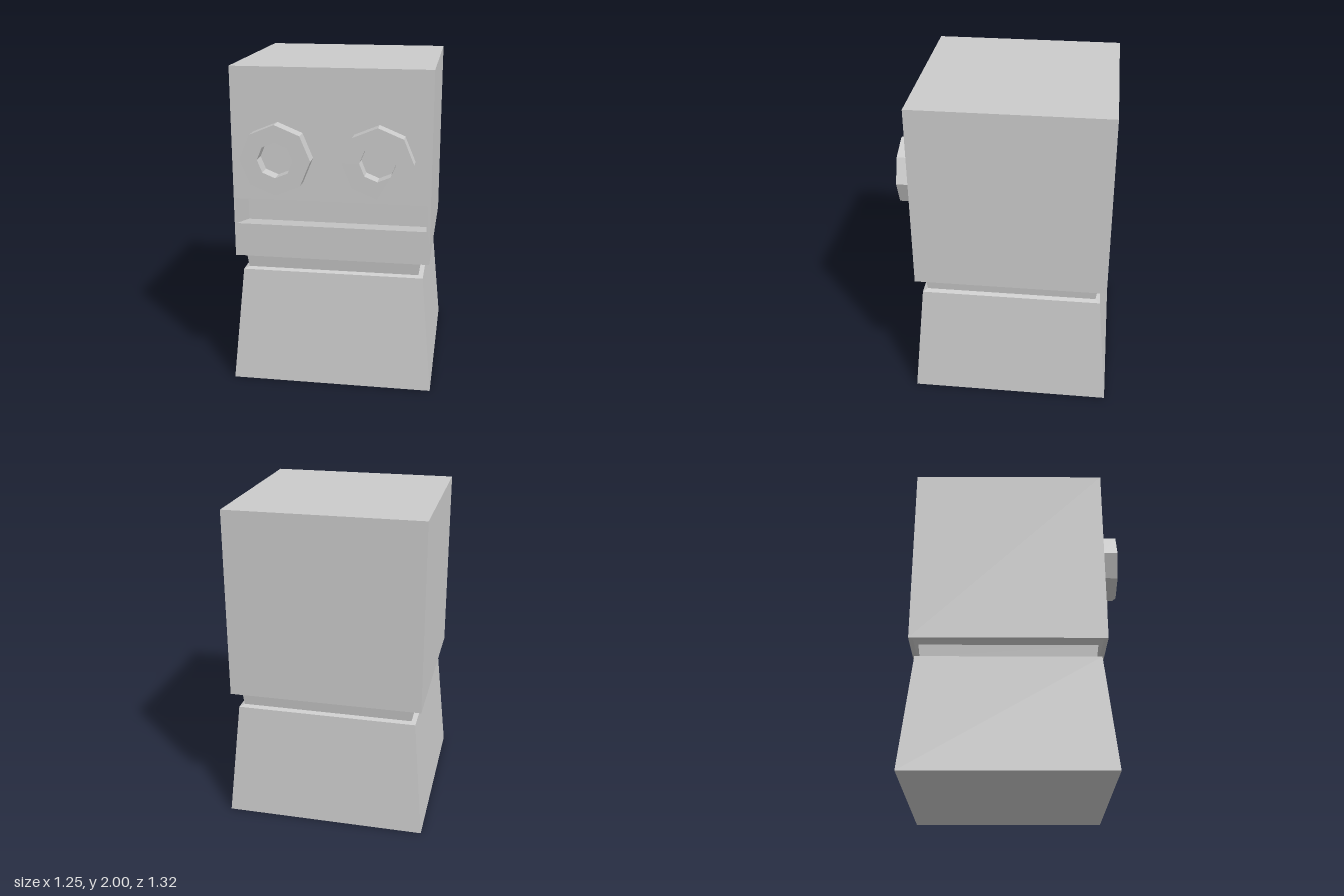
import * as THREE from 'three';

const material = new THREE.MeshStandardMaterial({ color: 0xcccccc, flatShading: true });
const BODY_Z = -0.032;   // body sits slightly back, the eyes stick out in front
const HALF = 0.598;      // half width of the head
const FACE_Z = BODY_Z + HALF;

// Square ring at height y, counter-clockwise from above
const ring = (y, h) => [[h, 1], [h, -1], [-h, -1], [-h, 1]].map(([x, s]) => [x, y, BODY_Z + s * h]);

// Joins four-cornered rings with flat quads; optional end caps and one skipped side
function loft(rings, { start = false, end = false, skip = -1 } = {}) {
  const pos = [];
  const quad = (a, b, c, d) => pos.push(...a, ...b, ...c, ...a, ...c, ...d);
  for (let r = 0; r < rings.length - 1; r++) {
    const a = rings[r], b = rings[r + 1];
    for (let i = 0; i < 4; i++) {
      const j = (i + 1) % 4;
      if (i !== skip) quad(a[i], a[j], b[j], b[i]);
    }
  }
  if (start) quad(...[...rings[0]].reverse());
  if (end) quad(...rings[rings.length - 1]);
  const geo = new THREE.BufferGeometry();
  geo.setAttribute('position', new THREE.Float32BufferAttribute(pos, 3));
  geo.computeVertexNormals();
  return geo;
}

const octagon = (radius) => Array.from({ length: 8 }, (_, i) =>
  new THREE.Vector2(Math.cos(i * Math.PI / 4) * radius, Math.sin(i * Math.PI / 4) * radius));

const corners = (x0, x1, y0, y1) => [[x0, y0], [x1, y0], [x1, y1], [x0, y1]];
const toPoints = (list) => list.map(([x, y]) => new THREE.Vector2(x, y));

export function createModel() {
  const model = new THREE.Group();
  const add = (name, geo) => {
    const mesh = new THREE.Mesh(geo, material);
    mesh.name = name;
    model.add(mesh);
    return mesh;
  };

  // Tapered torso, and the grooved neck flaring out under the head
  add('torso', loft([ring(0, 0.627), ring(0.725, 0.56), ring(0.735, 0.532)], { start: true }));
  add('neck', loft([ring(0.735, 0.532), ring(0.81, 0.541), ring(0.83, 0.572), ring(0.83, HALF)]));

  // Head box, open at the front (side 3)
  add('head', loft([ring(0.83, HALF), ring(2, HALF)], { end: true, skip: 3 }));

  // Front of the head with the mouth slot cut out
  const slot = corners(-0.587, 0.577, 1.038, 1.198);
  const face = new THREE.Shape(toPoints(corners(-HALF, HALF, 0.83, 2)));
  face.holes.push(new THREE.Path(toPoints(slot)));
  add('face', new THREE.ShapeGeometry(face).translate(0, 0, FACE_Z));

  // Mouth pocket, slanting down as it goes in
  add('mouth', loft([
    slot.map(([x, y]) => [x, y, FACE_Z]),
    slot.map(([x, y]) => [x, y - 0.068, FACE_Z - 0.3]),
  ], { end: true }));

  // Octagonal ring eyes
  const eyeShape = new THREE.Shape(octagon(0.211));
  eyeShape.holes.push(new THREE.Path(octagon(0.107)));
  const eyeGeo = new THREE.ExtrudeGeometry(eyeShape, { depth: 0.094, bevelEnabled: false });
  for (const [name, x] of [['rightEye', -0.315], ['leftEye', 0.29]]) {
    add(name, eyeGeo).position.set(x, 1.466, FACE_Z);
  }
  return model;
}
